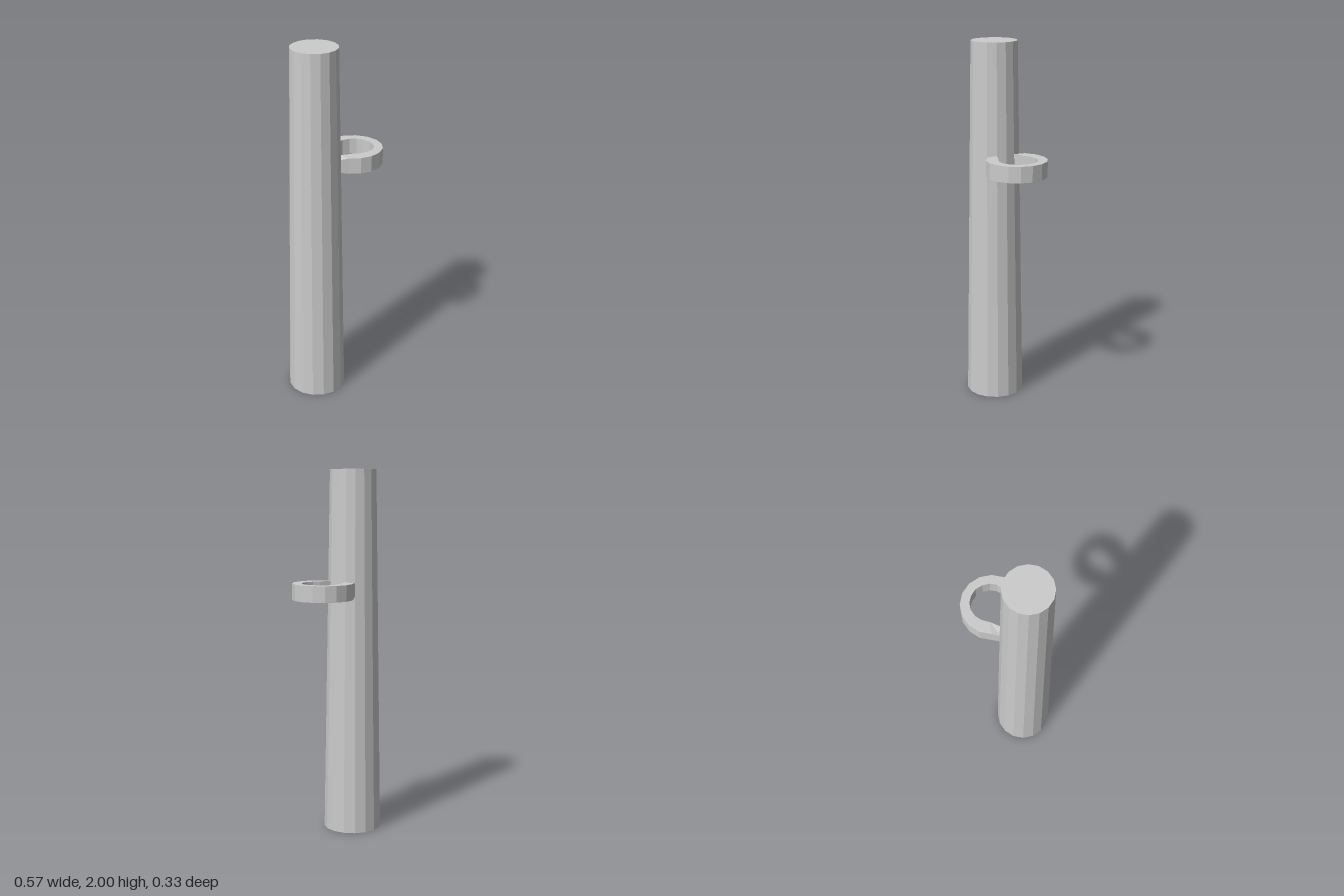
import * as THREE from 'three';

const material = new THREE.MeshStandardMaterial({ color: 0xcccccc, flatShading: true });

// Half of the open ring, from its far side to the pole: [outer x, outer z, inner x, inner z]
function halfRing() {
  const inner = [[0.24, 0], [0.23, 0.042], [0.209, 0.075], [0.178, 0.097],
    [0.135, 0.105], [0.095, 0.097], [0.059, 0.076], [-0.005, 0.052]];
  return inner.map(([x, z], i) => {
    const a = i * Math.PI / 8;
    const outer = i < 7 ? [0.122 + 0.164 * Math.cos(a), 0.164 * Math.sin(a)] : [-0.035, 0.092];
    return [...outer, x, z];
  });
}

// Rectangular cross-sections joined along the ring, with slightly pinched outer ends
function ringGeometry(bottom, top) {
  const half = halfRing();
  const mirrored = half.slice(1).reverse().map(([ox, oz, ix, iz]) => [ox, -oz, ix, -iz]);
  const stations = [...mirrored, ...half];
  const last = stations.length - 1;
  const positions = [];
  const index = [];
  stations.forEach(([ox, oz, ix, iz], i) => {
    const pinch = i === 0 || i === last ? 0.008 : 0;
    positions.push(ox, bottom + pinch, oz, ox, top - pinch, oz, ix, top, iz, ix, bottom, iz);
  });
  const quad = (a, b, c, d) => index.push(a, b, c, a, c, d);
  for (let i = 0; i < last; i++) {
    for (let k = 0; k < 4; k++) {
      const n = (k + 1) % 4;
      quad(i * 4 + k, i * 4 + n, i * 4 + 4 + n, i * 4 + 4 + k);
    }
  }
  // End faces
  quad(3, 2, 1, 0);
  quad(last * 4, last * 4 + 1, last * 4 + 2, last * 4 + 3);
  const indexed = new THREE.BufferGeometry();
  indexed.setAttribute('position', new THREE.Float32BufferAttribute(positions, 3));
  indexed.setIndex(index);
  const geometry = indexed.toNonIndexed();
  geometry.computeVertexNormals();
  return geometry;
}

export function createModel() {
  const group = new THREE.Group();
  group.name = 'poleWithRing';

  // Tapered pole
  const pole = new THREE.Mesh(new THREE.CylinderGeometry(0.126, 0.159, 2, 16), material);
  pole.name = 'pole';
  pole.position.set(-0.127, 1, 0);
  group.add(pole);

  // Open ring held on the side of the pole
  const ring = new THREE.Mesh(ringGeometry(1.313, 1.4), material);
  ring.name = 'sideRing';
  group.add(ring);

  return group;
}
